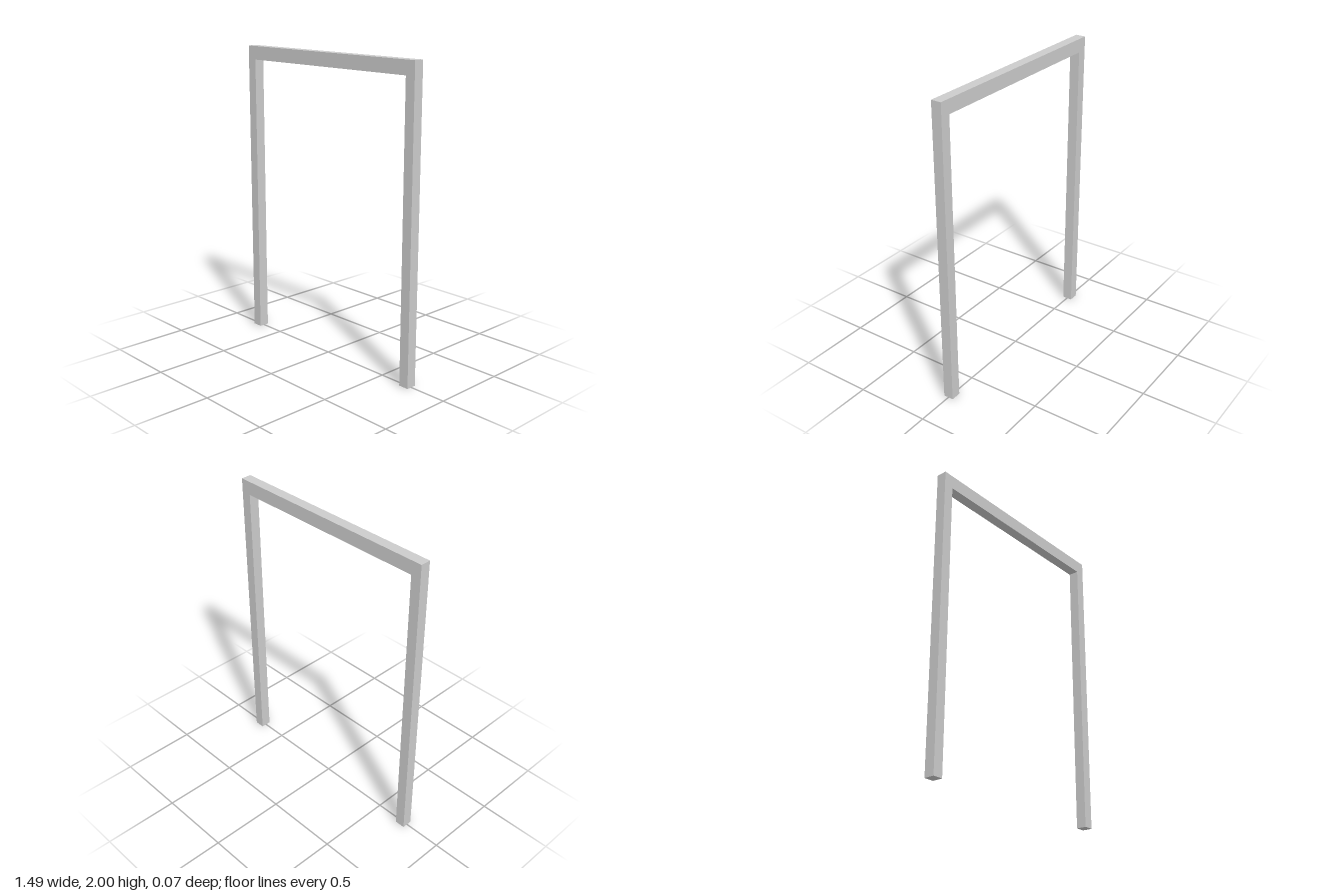
import * as THREE from 'three';

const WIDTH = 1.49, HEIGHT = 2, POST = 0.068, DEPTH = 0.068, BEAM = 0.09;

export function createModel() {
  const group = new THREE.Group();
  group.name = 'doorFrame';
  const material = new THREE.MeshStandardMaterial({ color: 0xcccccc });

  const addBar = (name, w, h, x, y) => {
    const bar = new THREE.Mesh(new THREE.BoxGeometry(w, h, DEPTH), material);
    bar.name = name;
    bar.position.set(x, y, 0);
    group.add(bar);
  };

  // Upright posts, standing under the ends of the beam
  const postHeight = HEIGHT - BEAM;
  for (const [name, side] of [['leftPost', 1], ['rightPost', -1]]) {
    addBar(name, POST, postHeight, side * (WIDTH - POST) / 2, postHeight / 2);
  }

  // Beam across the top
  addBar('topBeam', WIDTH, BEAM, 0, HEIGHT - BEAM / 2);

  return group;
}
